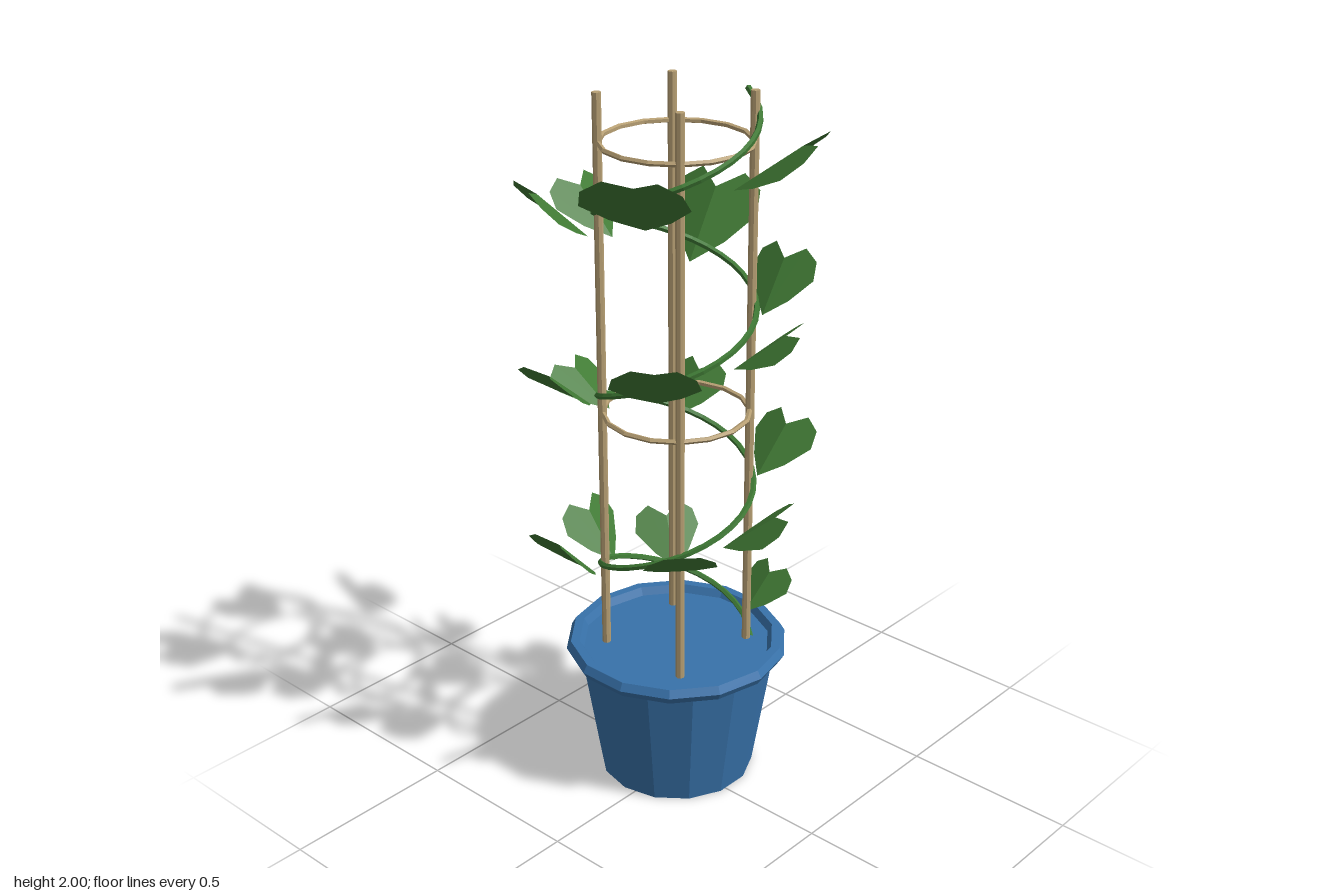
import * as THREE from 'three';

const CX = -0.035, CZ = -0.03;      // axis of the pot and trellis
const VINE_R = 0.213, PITCH = 0.514, START_Y = 0.4;
const rad = THREE.MathUtils.degToRad;

const flat = (color, name, side = THREE.FrontSide) => {
  const m = new THREE.MeshStandardMaterial({ color, flatShading: true, side });
  m.name = name;
  return m;
};

// Point on the climbing spiral; degrees are counted from the back towards the model's right (-x)
function spiral(deg, r = VINE_R) {
  const a = rad(deg);
  return new THREE.Vector3(-r * Math.sin(a), START_Y + PITCH * (deg + 45) / 360, -r * Math.cos(a));
}

// Heart leaf of unit length: point at the origin, lobes towards +z, folded along the midrib
function leafGeometry() {
  const half = [[0.27, 0.28], [0.49, 0.62], [0.44, 0.87], [0.24, 1.0], [0, 0.8]];
  const pos = [];
  const put = (x, z) => pos.push(x, -0.2 * Math.abs(x), z);
  for (const s of [1, -1]) {
    for (let i = 0; i < half.length - 1; i++) {
      const pair = s > 0 ? [half[i + 1], half[i]] : [half[i], half[i + 1]];
      put(0, 0);
      pair.forEach(([x, z]) => put(s * x, z));
    }
  }
  const g = new THREE.BufferGeometry();
  g.setAttribute('position', new THREE.Float32BufferAttribute(pos, 3));
  g.computeVertexNormals();
  return g;
}

export function createModel() {
  const root = new THREE.Group();
  root.name = 'climbingPlant';
  const plant = new THREE.Group();
  plant.name = 'pottedPlant';
  plant.position.set(CX, 0, CZ);
  root.add(plant);

  const potBlue = flat(0x3872aa, 'potBlue');
  const cane = flat(0xb8a074, 'caneTan');
  const stemGreen = flat(0x3f7a35, 'stemGreen');
  const leafGreen = flat(0x417b35, 'leafGreen', THREE.DoubleSide);

  const add = (name, geo, mat, x = 0, y = 0, z = 0, parent = plant) => {
    const m = new THREE.Mesh(geo, mat);
    m.name = name;
    m.position.set(x, y, z);
    parent.add(m);
    return m;
  };

  // Pot with a rolled rim
  add('pot', new THREE.CylinderGeometry(0.286, 0.222, 0.4, 14), potBlue, 0, 0.2, 0);
  add('potRim', new THREE.TorusGeometry(0.292, 0.025, 6, 14).rotateX(Math.PI / 2), potBlue, 0, 0.4, 0);

  // Four upright canes and two hoops
  for (const sx of [-1, 1]) for (const sz of [-1, 1]) {
    add('cane', new THREE.CylinderGeometry(0.0122, 0.0122, 1.65, 8), cane, sx * 0.1415, 1.175, sz * 0.1415);
  }
  for (const y of [1.12, 1.87]) {
    add('hoop', new THREE.TorusGeometry(0.2, 0.0075, 5, 16).rotateX(Math.PI / 2), cane, 0, y, 0);
  }

  // Vine winding three times round the canes
  const path = [];
  for (let i = 0; i <= 48; i++) path.push(spiral(-45 + i * 1107 / 48));
  add('vine', new THREE.TubeGeometry(new THREE.CatmullRomCurve3(path), 96, 0.0085, 5), stemGreen);

  // Leaves: six to a turn, [place on the spiral, heading, length, lift, drop below the vine]
  const turns = [
    [[-18, -8, 0.17, 0.8, 0.015], [42, 60, 0.2, 0.9, 0.02], [93, 93, 0.205, 0.95, 0.02],
      [144, 175, 0.23, 0.82, 0.025], [222, 228, 0.2, 0.72, 0.03], [255, 301, 0.22, 0.65, 0.025]],
    [[-35, -2, 0.21, 0.8, 0.03], [40, 8, 0.18, 0.8, 0.03], [96, 96, 0.19, 0.66, 0.05],
      [136, 175, 0.23, 0.72, 0.025], [210, 220, 0.24, 0.8, 0.035], [262, 303, 0.21, 0.65, 0.035]],
    [[-40, 2, 0.205, 0.98, 0.05], [33, 10, 0.28, 0.92, 0.075], [90, 90, 0.21, 0.8, 0.06],
      [144, 156, 0.235, 0.77, 0.065], [203, 213, 0.28, 0.78, 0.075], [260, 295, 0.27, 0.64, 0.065]],
  ];
  const leafGeo = leafGeometry();
  const leaves = new THREE.Group();
  leaves.name = 'leaves';
  plant.add(leaves);
  turns.forEach((turn, t) => turn.forEach(([deg, heading, size, lift, drop]) => {
    const p = spiral(deg + t * 360, VINE_R + 0.018);
    const leaf = add('leaf', leafGeo, leafGreen, p.x, p.y - drop, p.z, leaves);
    leaf.scale.setScalar(size);
    leaf.rotation.set(-lift, rad(heading) + Math.PI, 0, 'YXZ');
  }));

  return root;
}
